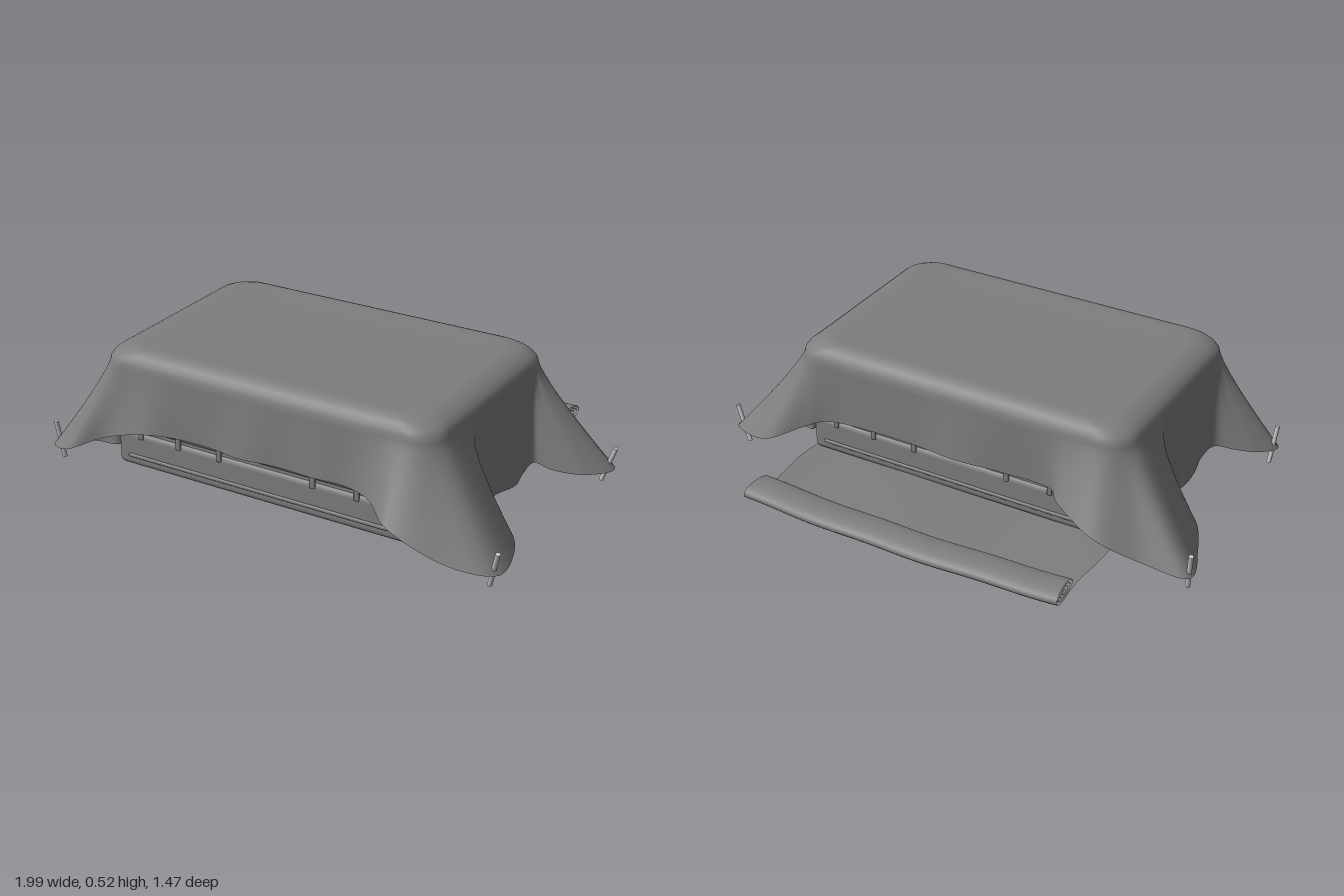
import * as THREE from 'three';
import { RoundedBoxGeometry } from 'three/addons/geometries/RoundedBoxGeometry.js';
import { ParametricGeometry } from 'three/addons/geometries/ParametricGeometry.js';

const darkGrey = 0x7e7e7e;
const solid = new THREE.MeshStandardMaterial({ color: darkGrey });
const cloth = new THREE.MeshStandardMaterial({ color: darkGrey, side: THREE.DoubleSide });
const metal = new THREE.MeshStandardMaterial({ color: 0xcccccc });
const { smoothstep, clamp } = THREE.MathUtils;

function add(parent, name, geometry, x = 0, y = 0, z = 0, material = solid) {
  const mesh = new THREE.Mesh(geometry, material);
  mesh.name = name;
  mesh.position.set(x, y, z);
  parent.add(mesh);
  return mesh;
}

// Hem outlines (x, z) of the four pulled-out corner flaps
const frontLeft = [[.36, .595], [.48, .64], [.6, .73], [.8, .7], [.96, .62], [.94, .45], [.86, .32], [.77, .31], [.71, .33]];
const backLeft = [[.71, -.19], [.8, -.17], [.92, -.2], [.985, -.31], [.8, -.39], [.65, -.33], [.55, -.3]];
const backRight = [[-.4, -.305], [-.48, -.38], [-.65, -.44], [-.82, -.385], [-.985, -.35], [-.94, -.18], [-.86, -.02], [-.78, 0], [-.71, -.03]];
const frontRight = [[-.71, .48], [-.8, .5], [-.88, .53], [-.93, .6], [-.82, .66], [-.68, .61], [-.49, .63], [-.35, .595]];

const midZ = .145, halfX = .7, halfZ = .445, around = 300;

// Joins the flaps with gently rippled straight walls into one closed hem
function hemCurve() {
  const flaps = [frontLeft, backLeft, backRight, frontRight];
  const points = [];
  flaps.forEach((flap, k) => {
    points.push(...flap);
    const [x0, z0] = flap.at(-1), [x1, z1] = flaps[(k + 1) % 4][0];
    for (let i = 1; i <= 4; i++) {
      const t = i / 5, ripple = 1.01 + .025 * Math.sin(i * 2.4 + k);
      points.push([(x0 + (x1 - x0) * t) * ripple, midZ + (z0 + (z1 - z0) * t - midZ) * ripple]);
    }
  });
  // The hem hangs low at the sides and tips, and lifts along the front and back
  return new THREE.CatmullRomCurve3(points.map(([x, z]) => {
    const lift = (1 - smoothstep(Math.abs(x), .45, .95)) * smoothstep(Math.abs(z - midZ), .38, .45);
    return new THREE.Vector3(x, .065 + .16 * lift, z);
  }), true, 'catmullrom', .5);
}

// Nearest point on the rounded rectangle of the tarp's shoulder
function shoulderPoint(p) {
  const r = .11;
  const core = new THREE.Vector3(
    clamp(p.x, r - halfX, halfX - r), 0, midZ + clamp(p.z - midZ, r - halfZ, halfZ - r));
  const out = new THREE.Vector3(p.x - core.x, 0, p.z - core.z).setLength(r);
  return core.add(out).setY(.45);
}

// Spreads the shoulder points so that folds open softly from the top
function softShoulders(hems) {
  const sharp = hems.map(shoulderPoint), reach = 9;
  return sharp.map((_, j) => {
    const mean = new THREE.Vector3();
    for (let k = -reach; k <= reach; k++) mean.add(sharp[(j + k + around) % around]);
    return shoulderPoint(mean.divideScalar(2 * reach + 1));
  });
}

function tarpGeometry() {
  const curve = hemCurve();
  const fall = 24, inset = .1;
  // Each ring is either a scaled outline on the top or a fraction of the fall to the hem
  const rings = [];
  for (const scale of [0, .2, .4, .6, .75]) rings.push({ scale, y: .512 + .008 * scale });
  for (let i = 0; i <= 6; i++) {
    const a = i / 6 * Math.PI / 2;
    rings.push({ scale: 1 - inset * (1 - Math.sin(a)) / .6, y: .45 + .07 * Math.cos(a) });
  }
  for (let i = 1; i <= fall; i++) rings.push({ drop: i / fall });

  const hems = Array.from({ length: around }, (_, j) => curve.getPoint(j / around));
  const shoulders = softShoulders(hems);
  const points = [], index = [];
  rings.forEach((ring, i) => {
    for (let j = 0; j < around; j++) {
      const s = shoulders[j], h = hems[j];
      if (ring.drop) {
        const t = ring.drop ** 1.15;
        points.push(s.x + (h.x - s.x) * t, s.y + (h.y - s.y) * ring.drop, s.z + (h.z - s.z) * t);
      } else {
        points.push(s.x * ring.scale, ring.y, midZ + (s.z - midZ) * ring.scale);
      }
      if (i === rings.length - 1) continue;
      const a = i * around + j, b = i * around + (j + 1) % around;
      if (i > 0) index.push(a, a + around, b);
      index.push(b, a + around, b + around);
    }
  });
  const geometry = new THREE.BufferGeometry();
  geometry.setAttribute('position', new THREE.Float32BufferAttribute(points, 3));
  geometry.setIndex(index);
  geometry.computeVertexNormals();
  return geometry;
}

// Groundsheet that lies flat under the rear case and ends in a flattened roll
function groundsheetGeometry() {
  return new ParametricGeometry((u, v, target) => {
    const x = (u - .5) * 2, flat = .3;
    const bow = .025 * x * x + .003 * Math.sin(x * 9);
    let y, z;
    if (v < flat) {
      const t = v / flat;
      z = -.655 * t + bow * t;
      y = .036 + .006 * Math.sin(t * Math.PI) * (1 + Math.sin(x * 5));
    } else {
      const t = (v - flat) / (1 - flat), a = t * Math.PI * 2 * 3.6, r = 1 - .85 * t;
      z = -.655 - .08 * r * Math.sin(a) + bow;
      y = .069 - .033 * r * Math.cos(a);
    }
    target.set(x * (.655 + .008 * Math.sin(z * 14)) + .005, y, z);
  }, 40, 150);
}

function createCase(z) {
  const group = new THREE.Group();
  group.name = 'storageCase';
  group.position.z = z;
  const depth = .255, front = depth / 2;
  add(group, 'caseBody', new RoundedBoxGeometry(1.32, .145, depth, 4, .025), 0, .1075, 0);
  add(group, 'caseLid', new RoundedBoxGeometry(1.32, .08, depth, 4, .02), 0, .225, 0);
  add(group, 'caseSeal', new THREE.BoxGeometry(1.29, .02, depth - .02), 0, .183, 0);
  for (const side of [1, -1]) {
    add(group, 'bodyRib', new RoundedBoxGeometry(1.22, .014, .014, 2, .005), 0, .08, side * front);
    for (const x of [-.38, .38])
      add(group, 'lidRib', new RoundedBoxGeometry(.3, .012, .014, 2, .005), x, .215, side * front);
    for (const x of [-.55, -.38, -.2, .2, .38, .55])
      add(group, 'latch', new RoundedBoxGeometry(.02, .05, .012, 2, .004), x, .18, side * front);
    add(group, 'endHandle', new RoundedBoxGeometry(.016, .02, .13, 2, .006), side * .662, .13, 0);
    add(group, 'endRib', new RoundedBoxGeometry(.012, .012, .19, 2, .004), side * .66, .08, 0);
  }
  return group;
}

function createStake(foot, head) {
  const a = new THREE.Vector3(...foot), b = new THREE.Vector3(...head);
  const stake = new THREE.Mesh(new THREE.CylinderGeometry(.009, .009, a.distanceTo(b), 12), metal);
  stake.name = 'tarpStake';
  stake.position.copy(a).lerp(b, .5);
  stake.quaternion.setFromUnitVectors(new THREE.Vector3(0, 1, 0), b.sub(a).normalize());
  return stake;
}

export function createModel() {
  const model = new THREE.Group();
  model.name = 'coveredCases';
  add(model, 'tarp', tarpGeometry(), 0, 0, 0, cloth);
  add(model, 'groundsheet', groundsheetGeometry(), 0, 0, 0, cloth);

  // Three cases side by side, with a second layer filling the cover
  for (const z of [.425, .15, -.125]) {
    model.add(createCase(z));
    add(model, 'upperCase', new RoundedBoxGeometry(1.24, .18, .22, 3, .03), 0, .355, z);
  }

  // Stakes pinning the four flap tips
  model.add(
    createStake([-.905, .005, .575], [-.92, .16, .595]),
    createStake([-.965, .005, -.315], [-.985, .16, -.35]),
    createStake([.92, .005, .59], [.965, .155, .63]),
    createStake([.935, .005, -.305], [.988, .15, -.297]),
  );
  return model;
}
